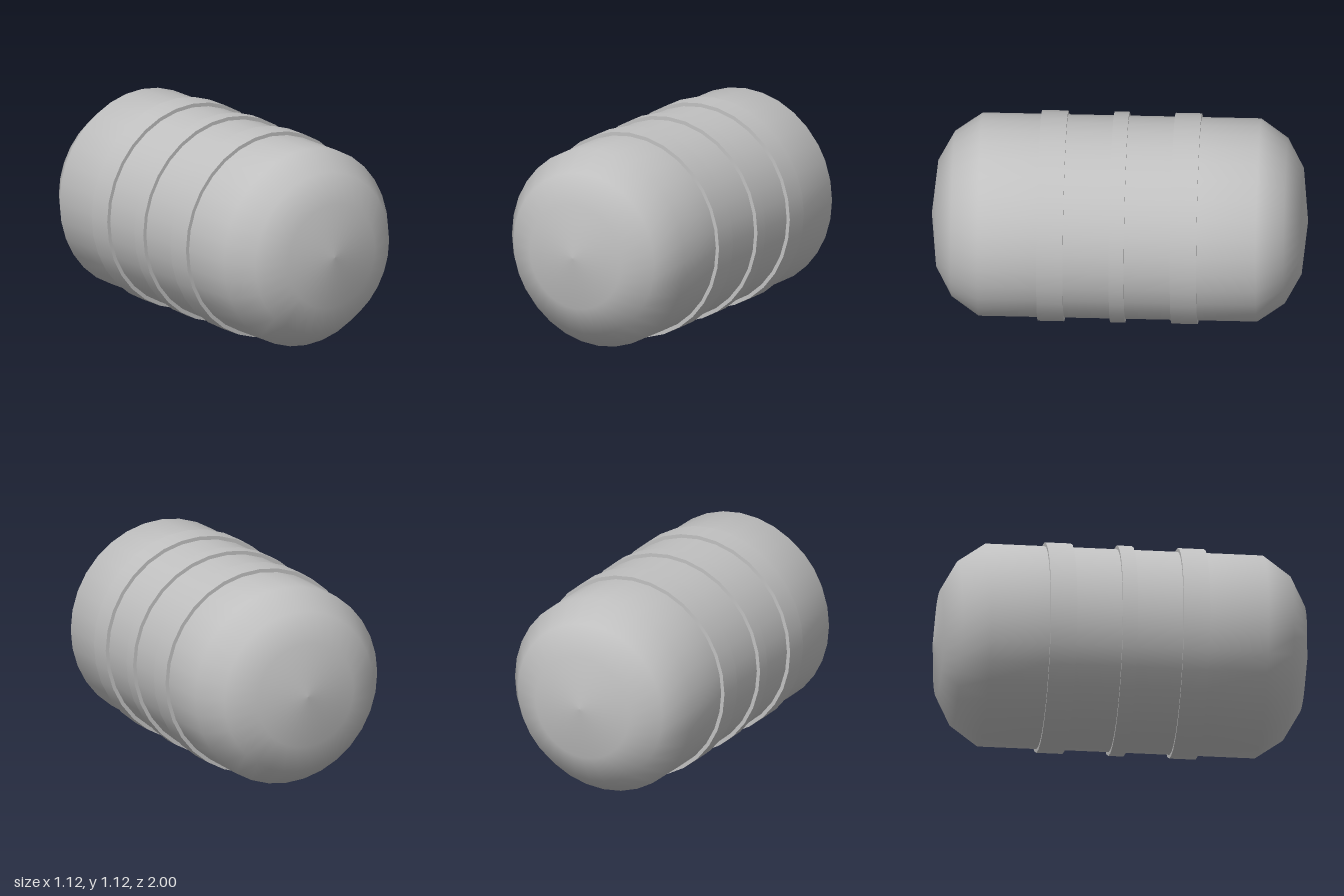
import * as THREE from 'three';

const SIDES = 32;
const AXIS_Y = 0.56;

export function createModel() {
  const model = new THREE.Group();
  model.name = 'barrel';
  const grey = new THREE.MeshStandardMaterial({ color: 0xc0c0c0 });
  grey.name = 'plain grey';

  // Adds a part turned around y, laid down along z at the axis height
  const addPart = (name, geometry, z) => {
    const mesh = new THREE.Mesh(geometry.rotateX(Math.PI / 2), grey);
    mesh.name = name;
    mesh.position.set(0, AXIS_Y, z);
    model.add(mesh);
  };

  // Smooth body with domed ends: [radius, distance from the middle]
  const half = [[0.54, 0.425], [0.54, 0.74], [0.44, 0.885], [0.285, 0.97], [0, 1]];
  const profile = [
    ...half.map(([r, d]) => new THREE.Vector2(r, -d)).reverse(),
    ...half.map(([r, d]) => new THREE.Vector2(r, d)),
  ];
  addPart('body', new THREE.LatheGeometry(profile, SIDES), 0);

  // Raised hoops: two wide, one narrow in the middle
  for (const [name, z, width] of [
    ['frontHoop', 0.355, 0.14],
    ['middleHoop', 0, 0.08],
    ['backHoop', -0.355, 0.14],
  ]) {
    addPart(name, new THREE.CylinderGeometry(0.56, 0.56, width, SIDES), z);
  }

  return model;
}
